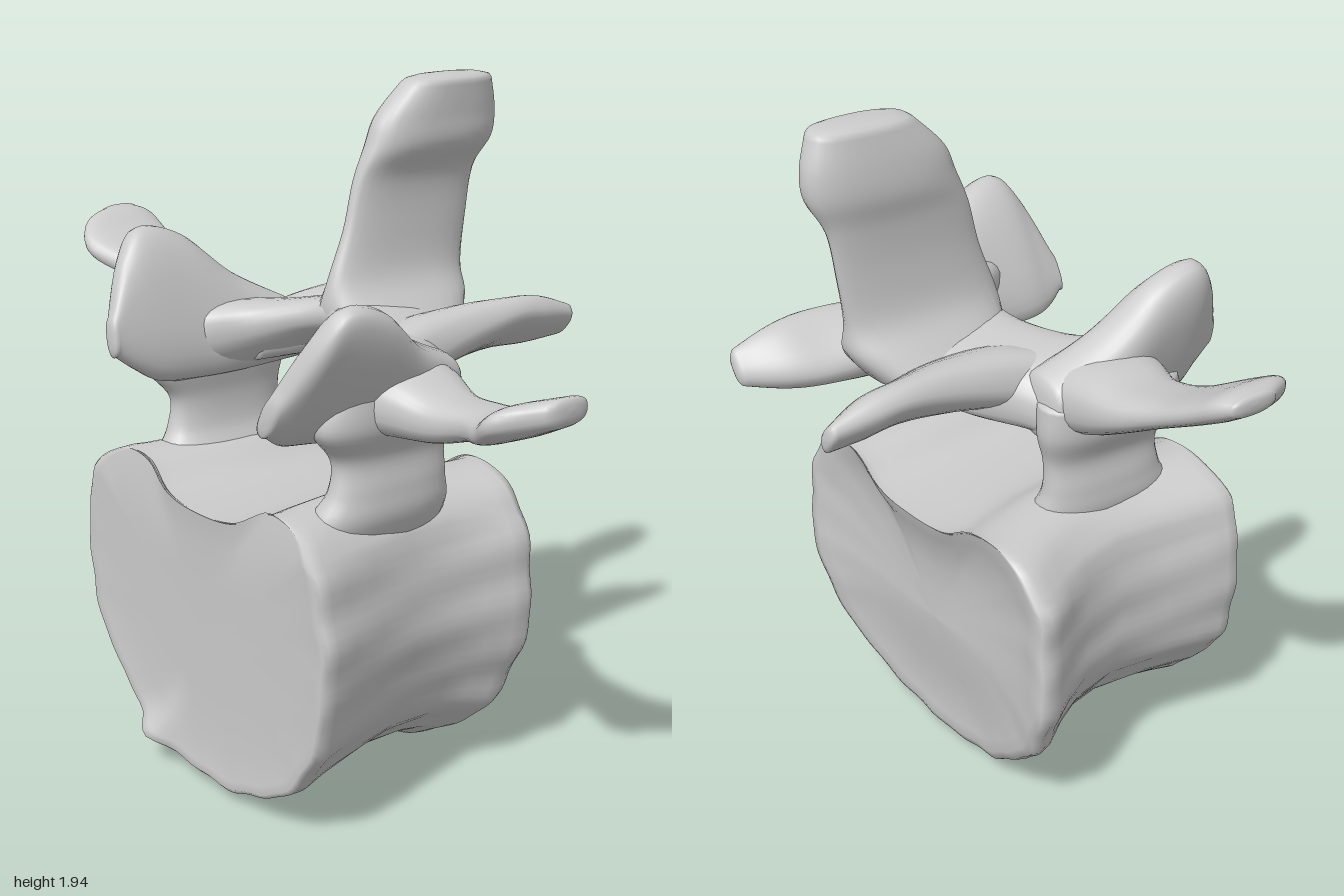
import * as THREE from 'three';

const bone = new THREE.MeshStandardMaterial({ color: 0xcccccc });

// Joins closed rings of points into one smooth surface; the ends must shrink to a point.
function skin(name, rings) {
  const n = rings[0].length, pos = [], idx = [];
  rings.forEach(r => r.forEach(p => pos.push(p.x, p.y, p.z)));
  for (let i = 0; i < rings.length - 1; i++) for (let j = 0; j < n; j++) {
    const a = i * n + j, b = i * n + (j + 1) % n;
    idx.push(a, b, b + n, a, b + n, a + n);
  }
  // Flip the faces if the enclosed volume comes out negative.
  const pts = rings.flat(), c = pts[0];
  let volume = 0;
  for (let k = 0; k < idx.length; k += 3) {
    const [p, q, r] = [0, 1, 2].map(m => pts[idx[k + m]].clone().sub(c));
    volume += p.dot(q.cross(r));
  }
  if (volume < 0) idx.reverse();
  const g = new THREE.BufferGeometry();
  g.setAttribute('position', new THREE.Float32BufferAttribute(pos, 3));
  g.setIndex(idx);
  g.computeVertexNormals();
  const mesh = new THREE.Mesh(g, bone);
  mesh.name = name;
  return mesh;
}

// Smoothly interpolates rows of numbers.
function sample(rows, t) {
  const f = t * (rows.length - 1), i = Math.min(Math.floor(f), rows.length - 2), s = f - i;
  const at = k => rows[Math.max(0, Math.min(rows.length - 1, k))];
  return rows[0].map((_, m) => {
    const [a, b, c, d] = [at(i - 1)[m], at(i)[m], at(i + 1)[m], at(i + 2)[m]];
    return b + 0.5 * s * (c - a + s * (2 * a - 5 * b + 4 * c - d + s * (3 * (b - c) + d - a)));
  });
}

// Lofts rows [centre xyz, half-axis u xyz, half-axis v xyz] with rounded ends.
function limb(name, rows) {
  const cap = 0.02, power = 0.8, sides = 28;
  const ring = (q, scale = 1, shift = new THREE.Vector3()) =>
    Array.from({ length: sides }, (_, j) => {
      const a = j / sides * Math.PI * 2;
      const sq = w => Math.sign(w) * Math.abs(w) ** power * scale;
      const u = sq(Math.cos(a)), v = sq(Math.sin(a));
      return new THREE.Vector3(q[0] + u * q[3] + v * q[6], q[1] + u * q[4] + v * q[7],
        q[2] + u * q[5] + v * q[8]).add(shift);
    });
  const steps = (rows.length - 1) * 6, rings = [];
  for (let i = 0; i <= steps; i++) rings.push(ring(sample(rows, i / steps)));
  const end = (q, p) => {
    const d = new THREE.Vector3(q[0] - p[0], q[1] - p[1], q[2] - p[2]).normalize();
    return [[0.92, 0.5], [0.7, 0.85], [0.4, 1], [0, 1.05]].map(([s, o]) => ring(q, s, d.clone().multiplyScalar(o * cap)));
  };
  const last = rows.length - 1;
  return skin(name, [...end(rows[0], rows[1]).reverse(), ...rings, ...end(rows[last], rows[last - 1])]);
}

// Drum-shaped body with a waist, ragged rims and dished end faces.
function vertebralBody() {
  const outline = new THREE.CatmullRomCurve3([
    [0, .845], [.15, .86], [.28, .92], [.41, .89], [.48, .81], [.52, .65], [.52, .5], [.49, .36],
    [.42, .22], [.29, .12], [.1, .06], [-.1, .06], [-.25, .1], [-.41, .21], [-.53, .35], [-.58, .5],
    [-.58, .68], [-.55, .83], [-.43, .92], [-.3, .92], [-.17, .86]
  ].map(([x, y]) => new THREE.Vector3(x, y, 0)), true).getSpacedPoints(120).slice(0, -1);
  // Rows: z, scale, how far towards the back rim.
  const rows = [[.52, 0, 0], [.52, .4, 0], [.522, .75, 0], [.53, .93, 0], [.535, .98, 0], [.525, 1.005, 0],
    [.49, 1.01, 0], [.42, .98, .05], [.3, .95, .1], [.15, .93, .25], [0, .94, .5], [-.1, .97, .75], [-.18, 1.02, .95],
    [-.225, 1.035, 1], [-.25, 1.015, 1], [-.25, .96, 1], [-.235, .88, 1], [-.21, .74, 1], [-.19, .5, 1], [-.185, .25, 1], [-.183, 0, 1]];
  return skin('vertebralBody', rows.map(([z, s, back]) => outline.map((p, j) => {
    const a = j / outline.length * Math.PI * 2;
    const ragged = 1 + s * .007 * (Math.sin(a * 13 + z * 4) + Math.sin(a * 21 + 1 - z * 6));
    const low = Math.max(0, (.5 - p.y) / .45) * s;
    const waist = 1 - .06 * Math.exp(-(((z - .12) / .18) ** 2));
    // The canal floor stays level while the sides narrow.
    const x = -.03 + (p.x + .03) * s * ragged * waist - .06 * back;
    const y = .48 + (p.y - .48) * s * (p.y > .8 && s > .9 ? 1 / s : ragged) - .02 * back;
    // Sloping back face, rounded upper front edge and a small spur on the lower front rim.
    const slope = back * (.12 * low ** 1.6 + .06 * Math.max(0, -x));
    const bevel = z > .45 ? .35 * Math.max(0, y - .84) : 0;
    const spur = z > .45 ? .05 * Math.exp(-(((x + .25) / .06) ** 2) - ((y - .11) / .05) ** 2) : 0;
    return new THREE.Vector3(x, y, z + slope - bevel + spur);
  })));
}

export function createModel() {
  const group = new THREE.Group();
  group.name = 'vertebra';
  group.add(vertebralBody());

  // Pedicles, the arch roots on both sides.
  for (const s of [1, -1]) {
    const x = s > 0 ? .355 : -.375;
    group.add(limb(s > 0 ? 'leftPedicle' : 'rightPedicle', [
      [x - s * .04, .74, .2, .04, 0, 0, 0, 0, .18],
      [x - s * .02, .87, .2, .085, 0, 0, 0, 0, .22],
      [x, .96, .185, .068, 0, 0, 0, 0, .19],
      [x, 1.05, .18, .06, 0, 0, 0, 0, .185],
      [x + s * .01, 1.14, .2, .085, 0, 0, 0, 0, .23],
      [x + s * .01, 1.23, .19, .09, 0, 0, 0, 0, .22]
    ]));
  }

  // Lamina, the roof of the canal.
  const half = [[.41, 1.2, .17, .09, .17], [.31, 1.22, .14, .1, .2], [.21, 1.245, .02, .08, .2], [.1, 1.28, -.06, .065, .19]];
  const row = s => ([x, y, z, h, d]) => [s * x, y, z, 0, h, 0, 0, .02, d];
  group.add(limb('lamina', [...half.map(row(-1)), [0, 1.3, -.09, 0, .07, 0, 0, .02, .19], ...half.map(row(1)).reverse()]));

  // Spine, an upright blade with a thicker crest.
  group.add(limb('spineBlade', [
    [0, 1.25, -.12, .19, 0, 0, 0, 0, .2],
    [0, 1.33, -.14, .12, 0, 0, 0, 0, .24],
    [0, 1.42, -.15, .06, 0, 0, 0, 0, .235],
    [0, 1.55, -.185, .042, 0, 0, 0, 0, .22],
    [0, 1.68, -.215, .045, 0, 0, 0, 0, .215],
    [.015, 1.77, -.255, .075, 0, 0, 0, 0, .22],
    [.02, 1.85, -.275, .075, 0, 0, 0, 0, .205],
    [.03, 1.935, -.305, .068, 0, 0, 0, 0, .15]
  ]));

  // Lower joint prongs, reaching backwards.
  for (const s of [1, -1]) {
    group.add(limb(s > 0 ? 'leftRearProng' : 'rightRearProng', [
      [s * .27, 1.22, .15, s * .06, 0, 0, 0, .07, 0],
      [s * .21, 1.25, -.02, s * .09, .02, 0, -s * .02, .08, 0],
      [s * .185, 1.26, -.2, s * .1, .05, 0, -s * .03, .065, 0],
      [s * .195, 1.265, -.36, s * .09, .065, 0, -s * .03, .045, 0],
      [s * .21, 1.26, -.47, s * .07, .06, 0, -s * .03, .04, 0],
      [s * .235, 1.25, -.575, s * .035, .04, 0, -s * .015, .025, 0]
    ]));
  }

  // Upper joint plates, slanted to face each other.
  group.add(limb('leftJointPlate', [
    [.34, 1.2, 0, .04, .08, 0, .08, -.02, 0],
    [.36, 1.23, .16, .07, .12, 0, .09, -.03, 0],
    [.385, 1.275, .3, .1, .18, 0, .075, -.03, 0],
    [.39, 1.295, .43, .11, .195, 0, .06, -.02, 0],
    [.38, 1.265, .5, .09, .15, 0, .045, -.02, 0],
    [.345, 1.21, .555, .035, .06, 0, .03, -.01, 0]
  ]));
  group.add(limb('rightJointPlate', [
    [-.34, 1.21, 0, -.03, .09, 0, .09, .02, 0],
    [-.36, 1.25, .16, -.04, .14, 0, .09, .02, 0],
    [-.375, 1.31, .3, -.05, .2, 0, .08, .02, 0],
    [-.375, 1.335, .43, -.05, .21, 0, .07, .015, 0],
    [-.355, 1.32, .51, -.035, .15, 0, .05, .01, 0],
    [-.33, 1.28, .575, -.01, .06, 0, .03, .01, 0]
  ]));

  // Transverse wings, spreading sideways with paddle ends.
  group.add(limb('leftWing', [
    [.33, 1.2, .17, 0, .1, 0, 0, 0, .17],
    [.46, 1.2, .165, 0, .09, 0, 0, 0, .14],
    [.58, 1.185, .165, 0, .062, 0, 0, 0, .1],
    [.7, 1.205, .175, 0, .045, 0, 0, 0, .085],
    [.8, 1.225, .2, 0, .04, 0, 0, 0, .105],
    [.89, 1.265, .22, 0, .045, 0, 0, .01, .125],
    [.98, 1.3, .185, 0, .038, 0, 0, 0, .07]
  ]));
  group.add(limb('rightWing', [
    [-.33, 1.22, .17, 0, .11, 0, 0, 0, .17],
    [-.47, 1.25, .155, 0, .1, 0, 0, 0, .155],
    [-.6, 1.285, .13, 0, .065, 0, 0, 0, .125],
    [-.73, 1.335, .145, 0, .045, 0, 0, 0, .115],
    [-.85, 1.395, .18, 0, .045, 0, 0, 0, .145],
    [-.93, 1.44, .165, 0, .045, 0, 0, 0, .125],
    [-.98, 1.46, .135, 0, .03, 0, 0, 0, .075]
  ]));
  return group;
}
